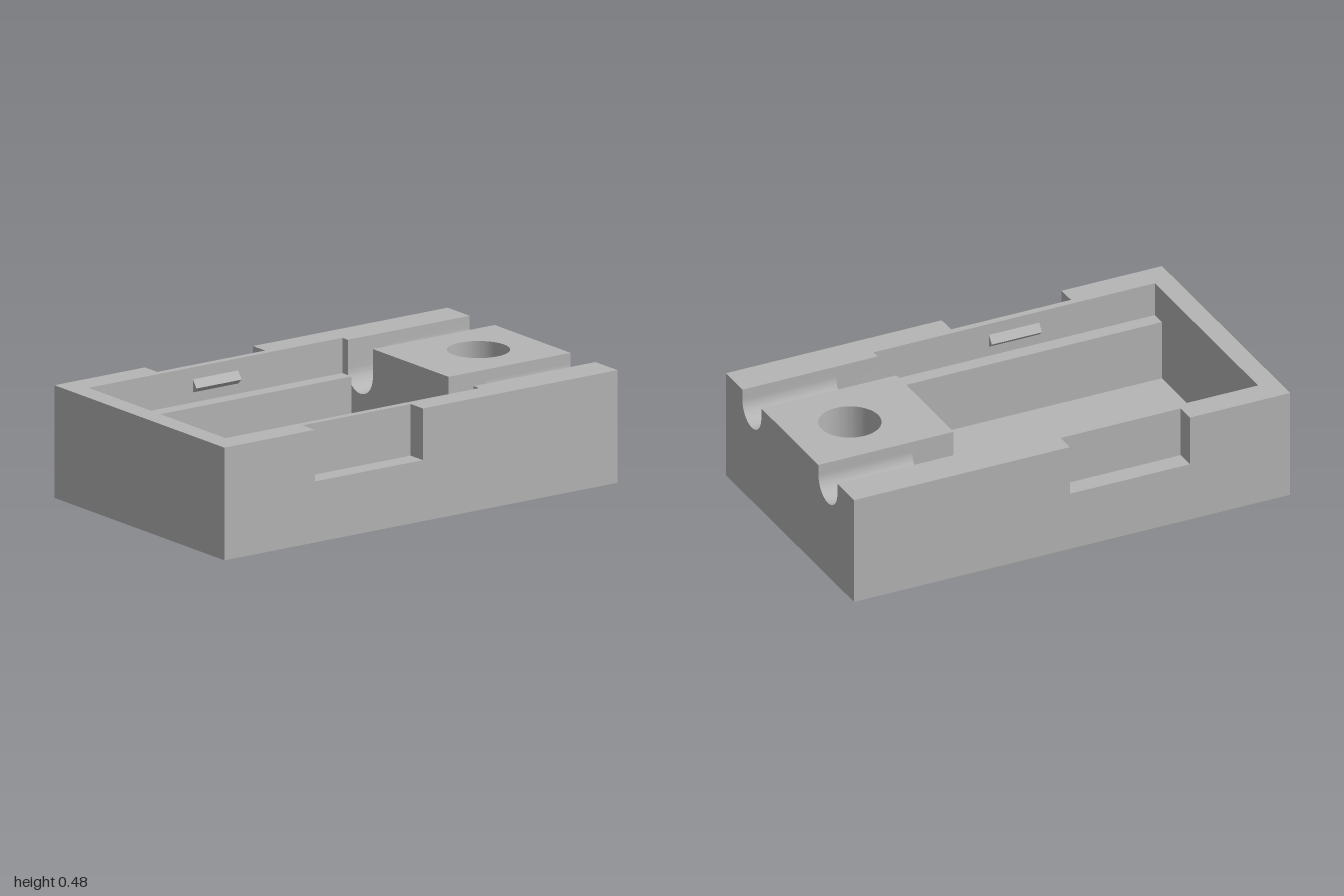
import * as THREE from 'three';
import { toCreasedNormals } from 'three/addons/utils/BufferGeometryUtils.js';

const TOP = 0.48, FLOOR = 0.065, HALF_Z = 0.59;
const CAVITY_BACK = -0.91, CAVITY_FRONT = 0.38;
const GROOVE_Z = 0.35, GROOVE_R = 0.087;

export function createModel() {
  const group = new THREE.Group();
  const grey = new THREE.MeshStandardMaterial({ color: 0xb5b5b5 });
  grey.name = 'plain grey';

  const add = (name, geometry) => {
    const mesh = new THREE.Mesh(toCreasedNormals(geometry, 0.5), grey);
    mesh.name = name;
    group.add(mesh);
  };

  // Extrude a [z, y] profile along x; side = -1 mirrors it to the back
  const alongX = (name, profile, x0, x1, side) => {
    const shape = new THREE.Shape(profile.map(([z, y]) => new THREE.Vector2(-side * z, y)));
    const geo = new THREE.ExtrudeGeometry(shape, { depth: x1 - x0, bevelEnabled: false });
    add(name, geo.rotateY(Math.PI / 2).translate(x0, 0, 0));
  };

  // Horizontal slab with the round through-hole
  const drilledSlab = (name, x0, x1, halfZ, y0, y1) => {
    const shape = new THREE.Shape([[x0, -halfZ], [x1, -halfZ], [x1, halfZ], [x0, halfZ]]
      .map(([x, z]) => new THREE.Vector2(x, z)));
    shape.holes.push(new THREE.Path().absarc(0.725, 0, 0.13, 0, Math.PI * 2, true));
    const geo = new THREE.ExtrudeGeometry(shape, { depth: y1 - y0, bevelEnabled: false, curveSegments: 48 });
    add(name, geo.rotateX(-Math.PI / 2).translate(0, y0, 0));
  };

  // Side shoulder profile with a U-shaped groove whose round centre is at height cy
  const groovedProfile = (cy) => {
    const pts = [[GROOVE_Z - GROOVE_R, FLOOR], [HALF_Z, FLOOR], [HALF_Z, TOP], [GROOVE_Z + GROOVE_R, TOP]];
    for (let i = 0; i <= 32; i++) {
      const a = -Math.PI * i / 32;
      pts.push([GROOVE_Z + GROOVE_R * Math.cos(a), cy + GROOVE_R * Math.sin(a)]);
    }
    return pts;
  };

  // Base plate and drilled centre block
  drilledSlab('basePlate', -1, 1, HALF_Z, 0, FLOOR);
  drilledSlab('drilledBlock', CAVITY_FRONT, 1, GROOVE_Z - GROOVE_R, FLOOR, TOP);

  // End wall of the cavity
  add('endWall', new THREE.BoxGeometry(CAVITY_BACK + 1, TOP - FLOOR, HALF_Z * 2)
    .translate((CAVITY_BACK - 1) / 2, (TOP + FLOOR) / 2, 0));

  // Long wall with an inner ledge, and the same wall with the outer notch
  const wall = [[0.41, FLOOR], [HALF_Z, FLOOR], [HALF_Z, TOP], [0.475, TOP], [0.475, 0.33], [0.41, 0.33]];
  const notched = [[0.41, FLOOR], [HALF_Z, FLOOR], [HALF_Z, 0.26], [0.505, 0.26], [0.505, TOP],
    [0.475, TOP], [0.475, 0.33], [0.41, 0.33]];
  const clip = [[0.476, 0.43], [0.45, 0.395], [0.476, 0.372]];

  for (const [label, side] of [['front', 1], ['back', -1]]) {
    alongX(label + 'WallEnd', wall, CAVITY_BACK, -0.54, side);
    alongX(label + 'WallNotch', notched, -0.54, 0.01, side);
    alongX(label + 'WallMiddle', wall, 0.01, CAVITY_FRONT, side);
    alongX(label + 'DeepGroove', groovedProfile(0.357), CAVITY_FRONT, 0.57, side);
    alongX(label + 'ShallowGroove', groovedProfile(0.432), 0.57, 1, side);
    alongX(label + 'Clip', clip, -0.38, -0.15, side);
  }
  return group;
}
